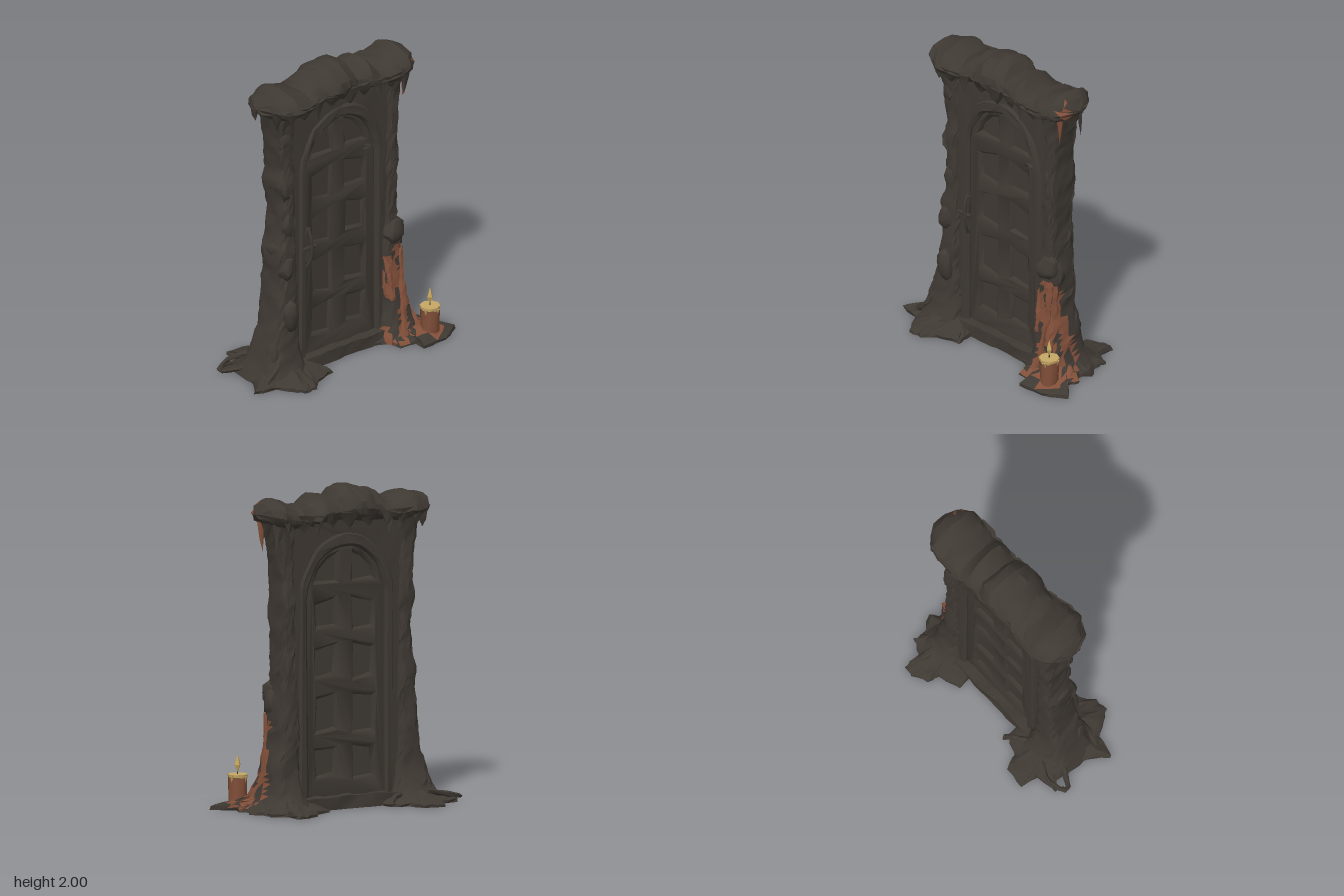
import * as THREE from 'three';
import { mergeVertices, toCreasedNormals } from 'three/addons/utils/BufferGeometryUtils.js';

const mat = (name, color) => Object.assign(new THREE.MeshStandardMaterial({ color }), { name });

// smooth lumps and sharp jitter that depend only on position, so shared corners stay joined
const lump = (x, y, z) => Math.sin(19 * x + 7 * y + 3) * Math.cos(17 * y - 11 * z) + 0.7 * Math.sin(31 * y + 23 * z + 13 * x);
const jitter = (x, y, z) => {
  const s = Math.sin(Math.round(x * 1e3) * 1.271 + Math.round(y * 1e3) * 3.117 + Math.round(z * 1e3) * 0.747) * 4375.85;
  return s - Math.floor(s) - 0.5;
};

function roughen(geo, amount, crag = 0, crease = 0.6) {
  geo.deleteAttribute('uv');
  geo.deleteAttribute('normal');
  const g = mergeVertices(geo, 1e-4), p = g.attributes.position;
  const shift = (x, y, z) => amount * lump(x, y, z) + crag * jitter(x, y, z);
  for (let i = 0; i < p.count; i++) {
    const x = p.getX(i), y = p.getY(i), z = p.getZ(i);
    p.setXYZ(i, x + shift(x, y, z), y < 0.005 ? 0 : y + 0.8 * shift(z + 2, x, y), z + shift(y, z + 1, x));
  }
  g.clearGroups();
  return toCreasedNormals(g, crease);
}

// skin over closed rings of equal size, with fan caps
function loft(rings) {
  const n = rings[0].length, pos = [], idx = [];
  rings.forEach(r => r.forEach(v => pos.push(...v)));
  for (let i = 0; i < rings.length - 1; i++) for (let j = 0; j < n; j++) {
    const a = i * n + j, b = i * n + (j + 1) % n;
    idx.push(a, a + n, b, b, a + n, b + n);
  }
  [0, rings.length - 1].forEach(i => {
    const c = pos.length / 3;
    pos.push(...[0, 1, 2].map(k => rings[i].reduce((s, v) => s + v[k], 0) / n));
    for (let j = 0; j < n; j++) {
      const a = i * n + j, b = i * n + (j + 1) % n;
      idx.push(c, ...(i ? [b, a] : [a, b]));
    }
  });
  const g = new THREE.BufferGeometry();
  g.setAttribute('position', new THREE.Float32BufferAttribute(pos, 3));
  g.setIndex(idx);
  return g;
}

// evenly resample stations whose first number is the position along the axis
function resample(st, count) {
  const out = [], a = st[0][0], b = st[st.length - 1][0];
  for (let i = 0; i <= count; i++) {
    const t = a + (b - a) * i / count;
    let k = 0;
    while (k < st.length - 2 && st[k + 1][0] < t) k++;
    const f = (t - st[k][0]) / (st[k + 1][0] - st[k][0]);
    out.push(st[k].map((v, j) => v + (st[k + 1][j] - v) * f));
  }
  return out;
}

// unit ring as [cos, sin] pairs; a power below 1 squares it off
const ringDirs = (n, power) => Array.from({ length: n }, (_, i) => {
  const a = i / n * Math.PI * 2, soft = v => Math.sign(v) * Math.abs(v) ** power;
  return [soft(Math.cos(a)), soft(Math.sin(a))];
});

// split faces into two material groups by the place of their centre
function paint(geo, rule) {
  const p = geo.attributes.position, sets = [[], []];
  for (let i = 0; i < p.count; i += 3) {
    const c = ['getX', 'getY', 'getZ'].map(f => (p[f](i) + p[f](i + 1) + p[f](i + 2)) / 3);
    sets[rule(...c) ? 1 : 0].push(i, i + 1, i + 2);
  }
  geo.setIndex([...sets[0], ...sets[1]]);
  geo.clearGroups();
  geo.addGroup(0, sets[0].length, 0);
  geo.addGroup(sets[0].length, sets[1].length, 1);
  return geo;
}

const archPath = (Type, w, y0, spring, rise) => {
  const s = new Type();
  s.moveTo(-w, y0);
  s.lineTo(w, y0);
  s.lineTo(w, spring);
  s.absellipse(0, spring, w, rise, 0, Math.PI, false);
  s.lineTo(-w, y0);
  return s;
};
const slab = (shape, half, bevel = 0) => new THREE.ExtrudeGeometry(shape, {
  depth: 2 * (half - bevel), curveSegments: 9, bevelEnabled: bevel > 0, bevelSize: bevel, bevelThickness: bevel, bevelSegments: 1,
}).translate(0, 0, bevel - half);

export function createModel() {
  const stone = mat('dark stone', 0x3f3933), rust = mat('rusty wax', 0x83503a);
  const tallow = mat('pale wax', 0xc6a866), fire = mat('flame', 0xc4a45c);
  const model = new THREE.Group();
  const add = (name, geo, material = stone, parent = model) => {
    const m = new THREE.Mesh(geo, material);
    m.name = name;
    parent.add(m);
    return m;
  };

  // wall with arched opening, and the moulding round the arch
  const wall = new THREE.Shape([[-0.42, 0], [0.41, 0], [0.42, 0.9], [0.44, 1.84], [-0.44, 1.84], [-0.42, 0.9]].map(p => new THREE.Vector2(...p)));
  wall.holes.push(archPath(THREE.Path, 0.31, 0.04, 1.3, 0.38));
  add('wall', roughen(slab(wall, 0.08), 0.004));
  const band = archPath(THREE.Shape, 0.325, 0.02, 1.3, 0.39);
  band.holes.push(archPath(THREE.Path, 0.295, 0.06, 1.3, 0.335));
  add('archMoulding', roughen(slab(band, 0.092, 0.018), 0.005));

  // door leaf with sloping sunken panels
  const leaf = archPath(THREE.Shape, 0.28, 0.05, 1.3, 0.33);
  const rows = [[0.18, 0.38], [0.46, 0.71], [0.8, 1.02], [1.1, 1.31]];
  for (const s of [-1, 1]) {
    const quad = pts => leaf.holes.push(new THREE.Path(pts.map(([x, y]) => new THREE.Vector2(s * x, y))));
    rows.forEach(([a, b], i) => quad([[0.05, a + 0.02 * s], [0.215, a], [0.22, b - 0.01 * i], [0.05, b + 0.01]]));
    quad([[0.04, 1.39], [0.23, 1.39], [0.2, 1.49], [0.13, 1.56], [0.04, 1.6]]);
  }
  add('doorLeaf', roughen(slab(leaf, 0.062, 0.026), 0.005, 0.004, 0.9));
  add('doorPanels', slab(archPath(THREE.Shape, 0.285, 0.05, 1.3, 0.33), 0.04));

  // door handle: plate, grip and bar
  const handle = new THREE.Group();
  handle.name = 'doorHandle';
  model.add(handle);
  add('handlePlate', roughen(new THREE.BoxGeometry(0.035, 0.22, 0.02, 1, 5, 1).translate(-0.28, 0.84, 0.09), 0.006), stone, handle);
  add('handleGrip', new THREE.TubeGeometry(new THREE.CatmullRomCurve3([[-0.28, 0.96, 0.09], [-0.275, 0.91, 0.12], [-0.27, 0.76, 0.12], [-0.28, 0.69, 0.09]].map(p => new THREE.Vector3(...p))), 10, 0.01, 6), stone, handle);
  add('handleBar', new THREE.CylinderGeometry(0.012, 0.012, 0.1, 6).rotateZ(Math.PI / 2).translate(-0.28, 0.83, 0.115), stone, handle);

  // pillars: y, inner x, outer x, z back, z front
  const sq = ringDirs(28, 0.6);
  const pillar = st => loft(resample(st, 52).map(([y, a, b, z0, z1]) =>
    sq.map(([c, s]) => [(a + b) / 2 + c * (b - a) / 2, y, (z0 + z1) / 2 + s * (z1 - z0) / 2])));
  add('leftPillar', roughen(pillar([[0, -0.67, -0.3, -0.25, 0.22], [0.1, -0.62, -0.33, -0.16, 0.17], [0.22, -0.58, -0.34, -0.12, 0.14],
    [0.4, -0.53, -0.36, -0.11, 0.13], [0.7, -0.5, -0.36, -0.105, 0.115], [0.84, -0.515, -0.36, -0.105, 0.12], [0.92, -0.48, -0.36, -0.1, 0.1], [1.18, -0.475, -0.37, -0.1, 0.105],
    [1.3, -0.495, -0.37, -0.115, 0.115], [1.4, -0.475, -0.37, -0.1, 0.1], [1.62, -0.505, -0.37, -0.1, 0.1], [1.82, -0.54, -0.36, -0.13, 0.13]]), 0.004, 0.012, 0.6));
  add('rightPillar', paint(roughen(pillar([[0, 0.27, 0.62, -0.25, 0.23], [0.1, 0.31, 0.55, -0.16, 0.19], [0.22, 0.33, 0.525, -0.12, 0.165],
    [0.31, 0.33, 0.515, -0.11, 0.15], [0.4, 0.33, 0.485, -0.11, 0.135], [0.62, 0.33, 0.475, -0.11, 0.12], [0.8, 0.35, 0.46, -0.1, 0.11], [1, 0.36, 0.45, -0.1, 0.105],
    [1.3, 0.37, 0.465, -0.115, 0.11], [1.42, 0.37, 0.46, -0.1, 0.105], [1.65, 0.37, 0.485, -0.1, 0.1], [1.82, 0.35, 0.53, -0.13, 0.13]]), 0.004, 0.012, 0.6),
  (x, y, z) => y > 0.01 && y < 0.63 - 1.2 * Math.max(0, 0.4 - x) && z > 0.05 - 0.12 * (0.6 - y)
    && (x > 0.4 || y > 0.27 || y < 0.1) && lump(x * 2.5, y * 0.9, z * 2.5) > -0.4), [stone, rust]);

  // heavy lintel, peaked over a sagging underside: x, bottom, top, half depth
  const round = ringDirs(16, 0.95), near = (x, y, z, a, b, c, r) => Math.hypot(x - a, y - b, z - c) < r;
  const lintel = loft(resample([[-0.6, 1.81, 1.87, 0.05], [-0.57, 1.79, 1.905, 0.13], [-0.5, 1.75, 1.92, 0.175], [-0.43, 1.745, 1.935, 0.2], [-0.3, 1.76, 1.895, 0.185],
    [-0.2, 1.76, 1.95, 0.165], [-0.1, 1.76, 1.985, 0.185], [0, 1.76, 2, 0.185], [0.06, 1.77, 1.975, 0.165], [0.09, 1.77, 1.93, 0.155], [0.2, 1.76, 1.955, 0.175],
    [0.24, 1.76, 1.885, 0.18], [0.38, 1.745, 1.9, 0.2], [0.5, 1.76, 1.945, 0.18], [0.55, 1.79, 1.915, 0.13], [0.585, 1.83, 1.87, 0.05]], 36)
    .map(([x, b, t, d]) => round.map(([c, s]) => {
      const mid = b + 0.42 * (t - b);
      return [x, mid + (c > 0 ? c ** 1.25 * (t - mid) : c * (mid - b)), -s * d];
    })));
  add('lintel', paint(roughen(lintel, 0.005, 0.016, 0.5), (x, y, z) =>
    near(x, y, z, 0.56, 1.84, 0.11, 0.036) || near(x, y, z, 0.55, 1.9, 0.08, 0.022)), [stone, rust]);

  // ragged spikes hanging under the lintel: x, z, tip y, width
  [[-0.53, 0.1, 1.7, 0.06], [-0.46, 0.16, 1.73, 0.06], [-0.36, 0.16, 1.74, 0.1], [-0.25, 0.16, 1.69, 0.05], [-0.12, 0.145, 1.745, 0.1], [0.02, 0.145, 1.73, 0.09],
    [0.14, 0.145, 1.745, 0.08], [0.25, 0.16, 1.7, 0.05], [0.35, 0.16, 1.73, 0.1], [0.45, 0.16, 1.67, 0.055], [0.505, 0.09, 1.6, 0.035]].forEach(([x, z, tip, w], i) => {
    for (const s of [1, -1]) {
      const h = 1.84 - tip;
      add('lintelSpike', roughen(new THREE.ConeGeometry(w, h, 6, 3).rotateX(Math.PI).rotateY(i)
        .scale(1, 1, 0.45).translate(x, 1.84 - h / 2, z * s), 0.004, 0.014, 0.6), i === 10 && s > 0 ? rust : stone);
    }
  });
  for (const x of [-0.53, 0.52]) add('lintelSpike', roughen(new THREE.ConeGeometry(0.1, 0.15, 6, 3)
    .rotateX(Math.PI).scale(0.4, 1, 1).translate(x, 1.765, 0), 0.004, 0.014, 0.6));

  // craggy growths on the pillars: x, y, z, rx, ry, rz
  [[0.415, 0.72, 0.095, 0.08, 0.085, 0.065], [0.465, 0.67, 0.06, 0.03, 0.07, 0.06], [-0.44, 0.41, 0.12, 0.06, 0.11, 0.05], [-0.45, 0.74, 0.1, 0.05, 0.08, 0.05],
    [-0.45, 1.27, 0.085, 0.04, 0.07, 0.035], [-0.43, 1.02, 0.085, 0.04, 0.09, 0.035], [-0.45, 1.6, 0.075, 0.05, 0.07, 0.035], [0.42, 1.32, 0.08, 0.035, 0.09, 0.035],
    [-0.48, 0.85, 0.02, 0.04, 0.05, 0.06], [-0.54, 0.16, 0.08, 0.06, 0.1, 0.06],
    [0.21, 1.34, 0.06, 0.035, 0.015, 0.015]].forEach(([x, y, z, a, b, c]) =>
    add('growth', roughen(new THREE.IcosahedronGeometry(1, 1).scale(a, b, c).translate(x, y, z), 0.007, 0.016, 0.7)));

  // ragged feet round the pillars, each outline edge split in three
  const foot = (pts, cx) => {
    const fine = pts.flatMap(([x, z], i) => {
      const [u, v] = pts[(i + 1) % pts.length];
      return [0, 1, 2].map(k => [x + (u - x) * k / 3, z + (v - z) * k / 3]);
    });
    return loft([[1, 0], [1, 0.018], [0.9, 0.036], [0.78, 0.045], [0.64, 0.06], [0.5, 0.085]].map(([k, y]) =>
      fine.map(([x, z]) => [cx + (x - cx) * k, y, z * k])));
  };
  add('leftFoot', roughen(foot([[-0.22, 0.16], [-0.21, 0.24], [-0.36, 0.29], [-0.43, 0.35], [-0.52, 0.36], [-0.57, 0.29], [-0.62, 0.2], [-0.76, 0.16], [-0.68, 0.06],
    [-0.64, -0.08], [-0.6, -0.16], [-0.7, -0.24], [-0.56, -0.26], [-0.53, -0.37], [-0.39, -0.35], [-0.36, -0.26], [-0.24, -0.2]], -0.44), 0.004, 0.014, 0.5));
  add('rightFoot', paint(roughen(foot([[0.67, -0.03], [0.6, 0.02], [0.67, 0.09], [0.64, 0.16], [0.76, 0.27], [0.62, 0.36], [0.43, 0.36], [0.44, 0.28], [0.33, 0.26],
    [0.32, 0.17], [0.22, 0.13], [0.2, -0.2], [0.34, -0.25], [0.35, -0.32], [0.45, -0.37], [0.52, -0.36], [0.52, -0.24], [0.62, -0.2], [0.6, -0.12]], 0.45), 0.004, 0.014, 0.5),
  (x, y, z) => y > 0.012 && lump(x * 3, y, z * 3) > -0.5
    && (Math.hypot(x - 0.56, z - 0.22) < 0.12 || Math.hypot(x - 0.35, z - 0.22) < 0.06 || Math.hypot(x - 0.63, z - 0.1) < 0.06)), [stone, rust]);
  add('sill', roughen(new THREE.BoxGeometry(0.7, 0.08, 0.26, 14, 2, 6).translate(0, 0.04, 0), 0.006, 0.01, 0.5));

  // roots and wax runs as tubes
  const run = (name, pts, r, material) => add(name, roughen(new THREE.TubeGeometry(
    new THREE.CatmullRomCurve3(pts.map(p => new THREE.Vector3(...p))), 14, r, 6), 0.003, 0.009, 0.7), material);
  run('looseRoot', [[-0.52, 0.08, -0.19], [-0.66, 0.05, -0.23], [-0.745, 0.025, -0.18], [-0.66, 0.04, -0.12], [-0.56, 0.07, -0.08]], 0.016, stone);
  run('looseRoot', [[-0.36, 0.06, -0.14], [-0.28, 0.06, -0.2], [-0.23, 0.02, -0.23]], 0.016, stone);
  run('looseRoot', [[-0.5, 0.28, 0.08], [-0.56, 0.12, 0.15], [-0.66, 0.03, 0.15]], 0.02, stone);
  run('waxRun', [[0.45, 0.6, 0.115], [0.445, 0.4, 0.13], [0.435, 0.2, 0.165], [0.42, 0.06, 0.2]], 0.02, rust);
  run('waxRun', [[0.46, 0.61, 0.08], [0.47, 0.35, 0.1], [0.5, 0.18, 0.13], [0.53, 0.06, 0.19]], 0.022, rust);
  run('waxRun', [[0.36, 0.54, 0.1], [0.36, 0.45, 0.12], [0.37, 0.35, 0.13], [0.37, 0.27, 0.14]], 0.02, rust);
  run('waxRun', [[0.52, 0.09, 0.05], [0.57, 0.06, 0.07], [0.65, 0.035, 0.1]], 0.018, rust);

  // candle with pale rim and flame
  const candle = new THREE.Group();
  candle.name = 'candle';
  candle.position.set(0.578, 0, 0.25);
  model.add(candle);
  add('candleBody', roughen(new THREE.CylinderGeometry(0.061, 0.056, 0.17, 8, 2).translate(0, 0.108, 0), 0.002, 0.004, 0.9), rust, candle);
  add('candleTop', toCreasedNormals(new THREE.CylinderGeometry(0.064, 0.061, 0.024, 8).translate(0, 0.199, 0), 0.9), tallow, candle);
  [0.3, 1.9, 3.6, 5.1].forEach((a, i) => add('candleDrip', new THREE.ConeGeometry(0.016, 0.04 + 0.01 * (i % 2), 5)
    .rotateX(Math.PI).translate(Math.sin(a) * 0.054, 0.178, Math.cos(a) * 0.054), tallow, candle));
  add('wick', new THREE.CylinderGeometry(0.004, 0.004, 0.03, 5).translate(0, 0.222, 0), stone, candle);
  add('flame', toCreasedNormals(new THREE.LatheGeometry([[0, 0], [0.021, 0.05], [0.015, 0.07], [0, 0.115]].map(p => new THREE.Vector2(...p)), 4)
    .translate(0, 0.218, 0), 0.3), fire, candle);
  return model;
}
